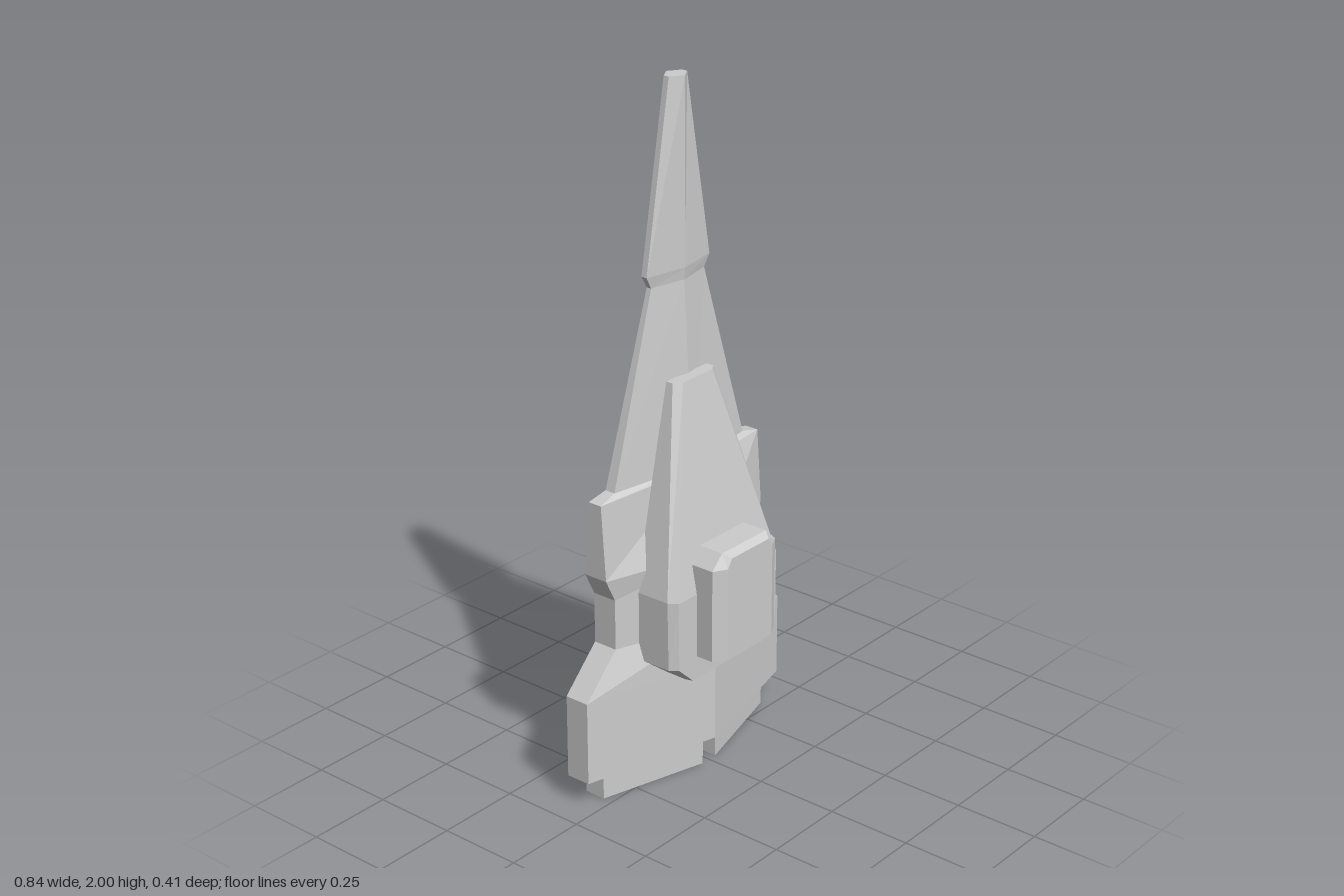
import * as THREE from 'three';

const material = new THREE.MeshStandardMaterial({ color: 0xcccccc, flatShading: true });

// Flat-shaded skin over rings of [x, y, z] corners, capped at both ends.
// Rings run counter-clockwise as seen from the end of the loft.
function loft(name, rings) {
  const pos = [];
  const tri = (a, b, c) => pos.push(...a, ...b, ...c);
  const n = rings[0].length;
  for (let i = 0; i < rings.length - 1; i++) {
    for (let j = 0; j < n; j++) {
      const k = (j + 1) % n;
      const a = rings[i][j], b = rings[i][k], c = rings[i + 1][k], d = rings[i + 1][j];
      tri(a, b, c);
      tri(a, c, d);
    }
  }
  const first = rings[0], last = rings[rings.length - 1];
  for (let j = 1; j < n - 1; j++) {
    tri(first[0], first[j + 1], first[j]);
    tri(last[0], last[j], last[j + 1]);
  }
  const geometry = new THREE.BufferGeometry();
  geometry.setAttribute('position', new THREE.Float32BufferAttribute(pos, 3));
  geometry.computeVertexNormals();
  const mesh = new THREE.Mesh(geometry, material);
  mesh.name = name;
  return mesh;
}

// Ridged hexagon: half width, side strip z range, front and back ridge z
const hexRing = ([y, w, sideFront, sideBack, front, back, ridgeY = y]) => [
  [w, y, sideFront], [w, y, sideBack], [0, ridgeY, back],
  [-w, y, sideBack], [-w, y, sideFront], [0, ridgeY, front],
];

// Pod section: outer and front half widths, back, edge and front z
const podRing = ([y, w, inner, back, edge, front]) => [
  [w, y, edge], [w, y, back], [-w, y, back],
  [-w, y, edge], [-inner, y, front], [inner, y, front],
];

// Canopy section with clipped upper corners
const canopyRing = ([z, w, shoulder, top, topW]) => [
  [w, 0.415, z], [w, shoulder, z], [topW, top, z],
  [-topW, top, z], [-w, shoulder, z], [-w, 0.415, z],
];

// Hollow engine nozzle on one side
function nozzle(side) {
  const outline = (pts) => pts.map(([x, z]) => new THREE.Vector2(side * x, -z));
  const shape = new THREE.Shape(outline([[0.028, 0.06], [0.028, -0.18], [0.352, -0.095], [0.352, -0.03]]));
  shape.holes.push(new THREE.Path(outline([[0.053, 0.028], [0.053, -0.148], [0.327, -0.077], [0.327, -0.047]])));
  const geometry = new THREE.ExtrudeGeometry(shape, { depth: 0.09, bevelEnabled: false });
  geometry.rotateX(-Math.PI / 2);
  const mesh = new THREE.Mesh(geometry, material);
  mesh.name = side > 0 ? 'leftNozzle' : 'rightNozzle';
  return mesh;
}

export function createModel() {
  const model = new THREE.Group();
  model.name = 'spacecraft';

  // Stepped main hull
  model.add(loft('hull', [
    [0.08, 0.42, -0.025, -0.1, 0.082, -0.205],
    [0.33, 0.42, -0.025, -0.1, 0.082, -0.205],
    [0.45, 0.3, -0.025, -0.1, 0.08, -0.203],
    [0.6, 0.3, -0.025, -0.1, 0.08, -0.203],
    [0.67, 0.335, -0.025, -0.1, 0.08, -0.203],
    [0.89, 0.335, -0.04, -0.083, 0.005, -0.13, 0.897],
    [0.905, 0.275, -0.045, -0.077, 0, -0.12],
  ].map(hexRing)));

  // Tapering nose with a notched collar
  model.add(loft('nose', [
    [0.9, 0.275, -0.045, -0.077, 0, -0.12],
    [1.44, 0.11, -0.052, -0.067, -0.03, -0.086],
    [1.475, 0.13, -0.05, -0.068, -0.026, -0.09],
    [2, 0.037, -0.05, -0.067, -0.026, -0.09],
  ].map(hexRing)));

  // Wedge pod on the front
  model.add(loft('frontPod', [
    [0.345, 0.16, 0.153, 0.03, 0.107, 0.128],
    [0.4, 0.23, 0.212, -0.01, 0.105, 0.128],
    [0.605, 0.23, 0.212, -0.01, 0.102, 0.128],
    [1.175, 0.085, 0.062, -0.022, 0, 0.018],
  ].map(podRing)));

  // Raised canopy block
  model.add(loft('canopy', [
    [0.06, 0.137, 0.69, 0.73, 0.095],
    [0.182, 0.137, 0.69, 0.73, 0.095],
    [0.204, 0.097, 0.69, 0.716, 0.08],
  ].map(canopyRing)));

  for (const side of [1, -1]) model.add(nozzle(side));
  return model;
}
